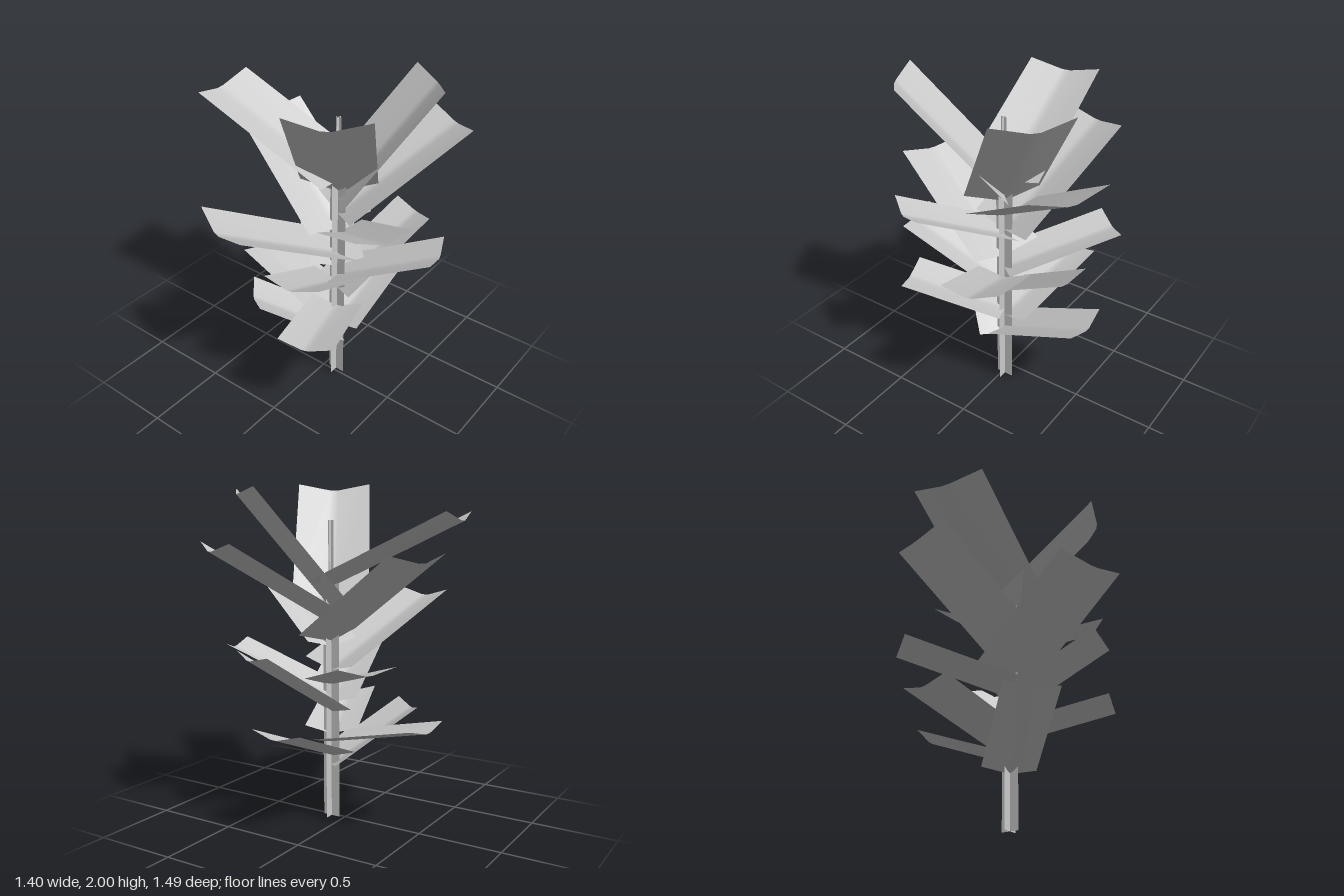
import * as THREE from 'three';

const material = new THREE.MeshStandardMaterial({ color: 0xcccccc, side: THREE.DoubleSide });
const AXIS = { x: 0.085, z: -0.02 };

// Tip position (x, y, z between the tip corners) and height of the base corners
const SMALL_LEAVES = [
  [0.085, 0.65, -0.58, 0.42],
  [-0.24, 0.68, 0.34, 0.36],
  [-0.59, 0.675, -0.11, 0.51],
  [0.29, 0.69, 0.54, 0.56],
  [0.28, 1.055, -0.525, 0.69],
  [0.20, 1.06, 0.54, 0.75],
  [0.65, 1.06, -0.194, 0.79],
  [-0.415, 1.035, -0.447, 0.86],
  [0.59, 1.37, 0.265, 1.09],
];
const LARGE_LEAVES = [
  [-0.157, 1.355, 0.675, 0.96],
  [-0.57, 1.61, -0.205, 1.13],
  [0.43, 1.665, -0.636, 1.23],
  [0.40, 1.96, -0.406, 1.315],
  [0.35, 2.0, 0.43, 1.37],
  [-0.675, 1.83, 0.066, 1.45],
];

// Strip folded into a shallow channel, running from the stem up to its tip
function makeLeaf([x, y, z, baseY], width, depth) {
  const dx = x - AXIS.x, dz = z - AXIS.z;
  const reach = Math.hypot(dx, dz), rise = y - baseY;
  const run = reach + depth * Math.sin(Math.atan2(rise, reach));
  const pitch = Math.atan2(rise, run), length = Math.hypot(rise, run);

  const geometry = new THREE.PlaneGeometry(width, length, 3, 1);
  geometry.rotateX(-Math.PI / 2).translate(0, 0, length / 2);
  const p = geometry.attributes.position;
  for (let i = 0; i < p.count; i++) {
    const column = i % 4;
    if (column === 0 || column === 3) p.setY(i, depth);   // raised outer edges
    else p.setX(i, (column === 1 ? -1 : 1) * width * 0.06); // narrow midrib
  }
  geometry.computeVertexNormals();
  geometry.rotateX(-pitch).rotateY(Math.atan2(dx, dz));

  const leaf = new THREE.Mesh(geometry, material);
  leaf.position.set(AXIS.x, baseY - depth * Math.cos(pitch), AXIS.z);
  leaf.name = 'leaf';
  return leaf;
}

// Two upright planes crossing at the stem axis
function makeStem(name, width, bottom, top) {
  const stem = new THREE.Group();
  stem.name = name;
  for (const angle of [0, Math.PI / 2]) {
    const plane = new THREE.Mesh(new THREE.PlaneGeometry(width, top - bottom), material);
    plane.position.set(AXIS.x, (top + bottom) / 2, AXIS.z);
    plane.rotation.y = angle;
    plane.name = name + 'Plane';
    stem.add(plane);
  }
  return stem;
}

export function createModel() {
  const model = new THREE.Group();
  model.name = 'leafyPlant';
  model.add(makeStem('lowerStem', 0.11, 0, 1.42), makeStem('upperStem', 0.037, 1.42, 1.78));

  const lower = new THREE.Group();
  lower.name = 'smallLeaves';
  SMALL_LEAVES.forEach((leaf) => lower.add(makeLeaf(leaf, 0.323, 0.04)));

  const upper = new THREE.Group();
  upper.name = 'largeLeaves';
  LARGE_LEAVES.forEach((leaf) => upper.add(makeLeaf(leaf, 0.444, 0.055)));

  model.add(lower, upper);
  return model;
}
